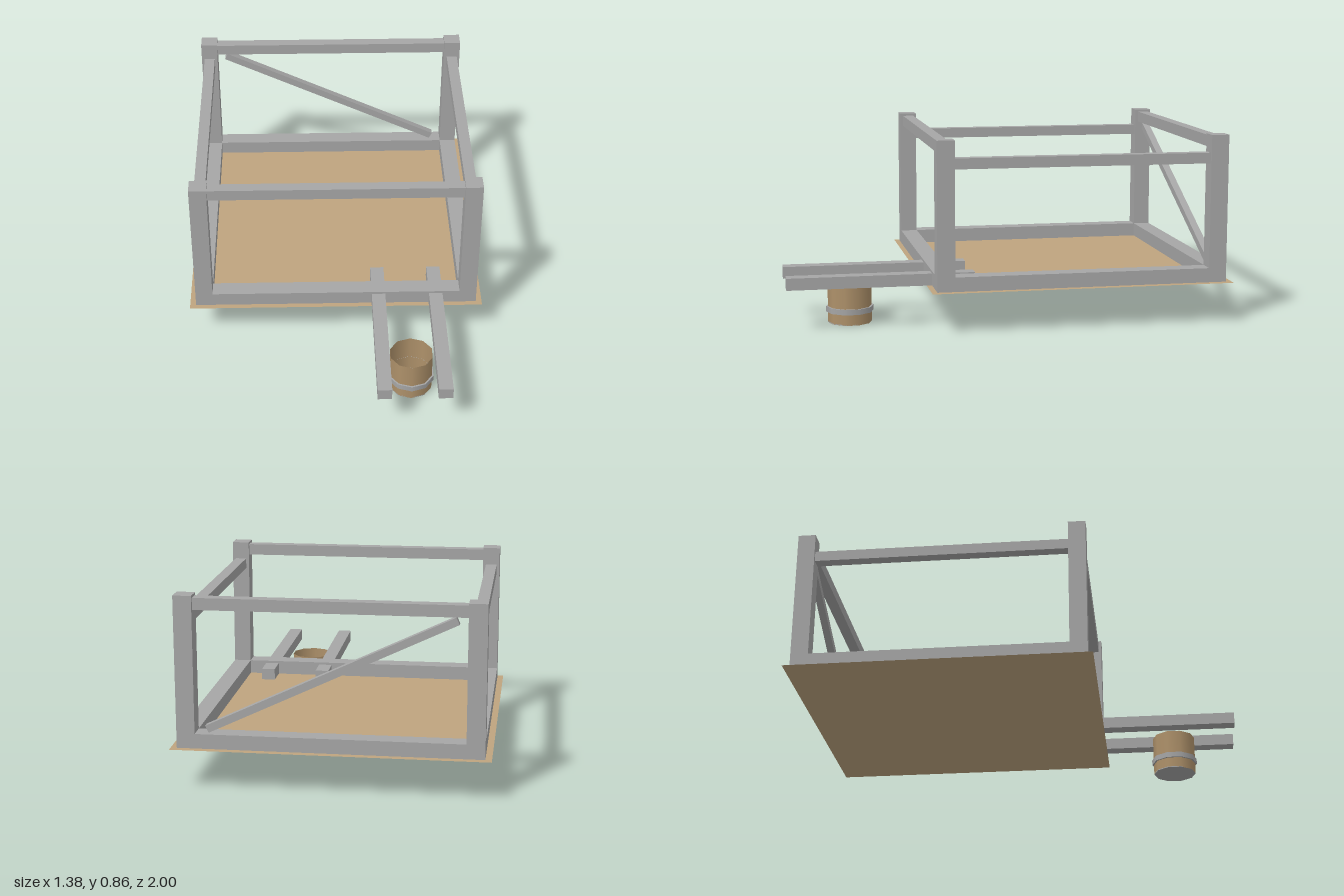
import * as THREE from 'three';

export function createModel() {
  const model = new THREE.Group();
  const steel = new THREE.MeshStandardMaterial({ color: 0xa6a6a6 });
  steel.name = 'steel grey';
  const board = new THREE.MeshStandardMaterial({ color: 0xbea47e, side: THREE.DoubleSide });
  board.name = 'board tan';
  const bucketTan = new THREE.MeshStandardMaterial({ color: 0xae916a, side: THREE.DoubleSide });
  bucketTan.name = 'bucket tan';

  const add = (name, geometry, material, x, y, z) => {
    const mesh = new THREE.Mesh(geometry, material);
    mesh.name = name;
    mesh.position.set(x, y, z);
    model.add(mesh);
    return mesh;
  };
  const beam = (name, w, h, d, x, y, z) =>
    add(name, new THREE.BoxGeometry(w, h, d), steel, x, y, z);

  const base = 0.187, postX = 0.622, frontZ = 0.311, backZ = -0.932, post = 0.08;
  const midZ = (frontZ + backZ) / 2;
  const spanX = 2 * postX - post, spanZ = frontZ - backZ - post;

  // Floor sheet, just under the rails
  add('floor', new THREE.PlaneGeometry(1.38, 1.375).rotateX(-Math.PI / 2), board, 0, base - 0.001, -0.3125);

  // Corner posts with front and back rails
  for (const [side, z] of [['front', frontZ], ['back', backZ]]) {
    for (const s of [-1, 1]) {
      beam(side + (s > 0 ? 'Left' : 'Right') + 'Post', post, 0.67, post, s * postX, base + 0.335, z);
    }
    beam(side + 'LowerRail', spanX, 0.065, post, 0, base + 0.0325, z);
    beam(side + 'UpperRail', spanX, 0.052, 0.052, 0, 0.82, z);
  }

  // Side rails, the upper pair set slightly lower
  for (const s of [-1, 1]) {
    const side = s > 0 ? 'left' : 'right';
    beam(side + 'LowerRail', post, 0.065, spanZ, s * postX, base + 0.0325, midZ);
    beam(side + 'UpperRail', 0.052, 0.048, spanZ, s * postX, 0.752, midZ);
  }

  // Diagonal brace across the back
  const from = new THREE.Vector2(-0.537, 0.776), to = new THREE.Vector2(0.533, 0.268);
  const run = to.clone().sub(from);
  const brace = beam('backBrace', run.length(), 0.034, 0.034, (from.x + to.x) / 2, (from.y + to.y) / 2, backZ);
  brace.rotation.z = Math.atan2(run.y, run.x);

  // Two arms reaching out under the front rail
  for (const x of [0.2, 0.47]) beam('supportArm', 0.064, 0.054, 0.845, x, base + 0.027, 0.5775);

  // Open bucket with a grey bottom and a band
  const bx = 0.335, bz = 0.706, sides = 10;
  add('bucketWall', new THREE.CylinderGeometry(0.1, 0.1, base, sides, 1, true), bucketTan, bx, base / 2, bz);
  add('bucketBottom', new THREE.CylinderGeometry(0.1, 0.1, 0.004, sides), steel, bx, 0.002, bz);
  const bandProfile = [[0.099, -0.0125], [0.108, -0.0125], [0.108, -0.0125], [0.108, 0.0125], [0.108, 0.0125], [0.099, 0.0125]]
    .map(([r, y]) => new THREE.Vector2(r, y));
  add('bucketBand', new THREE.LatheGeometry(bandProfile, sides), steel, bx, 0.0625, bz);

  return model;
}
